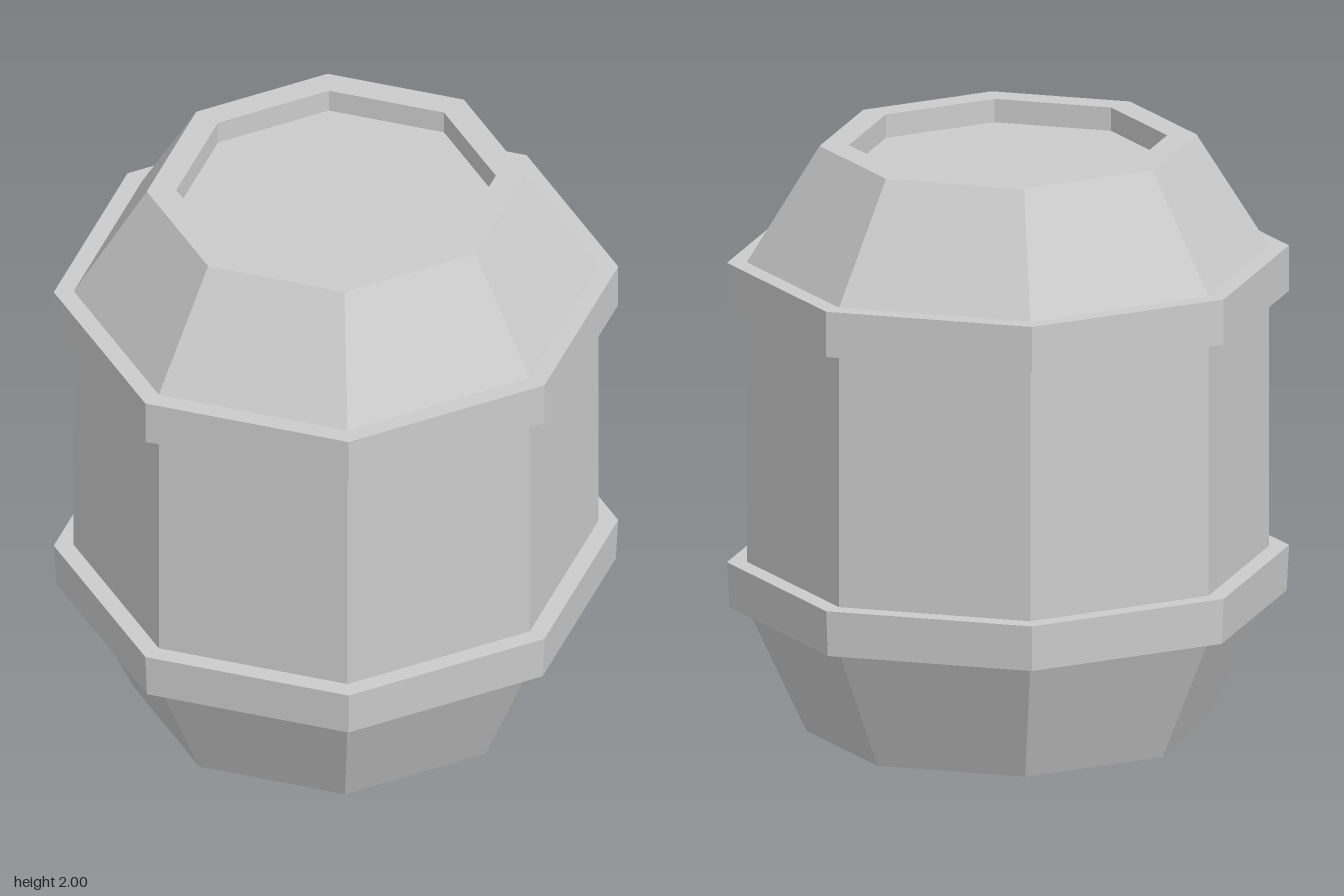
import * as THREE from 'three';

const SIDES = 8;
const Z_STRETCH = 1.035; // the octagon is slightly deeper than wide

const material = new THREE.MeshStandardMaterial({ color: 0xcccccc, flatShading: true });

// Faceted ring or solid turned from [radius, height] pairs, listed bottom to top
function turned(name, profile) {
  const points = profile.map(([r, y]) => new THREE.Vector2(r, y));
  const geometry = new THREE.LatheGeometry(points, SIDES).toNonIndexed();
  geometry.scale(1, 1, Z_STRETCH);
  geometry.computeVertexNormals();
  const mesh = new THREE.Mesh(geometry, material);
  mesh.name = name;
  return mesh;
}

// Hoop standing proud of the barrel wall
function hoop(name, bottom, top, bottomRadius, topRadius) {
  const inner = 0.855;
  return turned(name, [[inner, bottom], [bottomRadius, bottom], [topRadius, top], [inner, top]]);
}

export function createModel() {
  const group = new THREE.Group();
  group.name = 'barrel';

  // Body with recessed base and lid
  group.add(turned('body', [
    [0, 0.075], [0.557, 0.075], [0.557, 0], [0.66, 0],
    [0.855, 0.43], [0.855, 1.61],
    [0.617, 2], [0.521, 2], [0.521, 1.92], [0, 1.92],
  ]));

  // Two hoops
  group.add(hoop('lowerHoop', 0.43, 0.585, 0.912, 0.92));
  group.add(hoop('upperHoop', 1.455, 1.61, 0.92, 0.92));

  return group;
}
